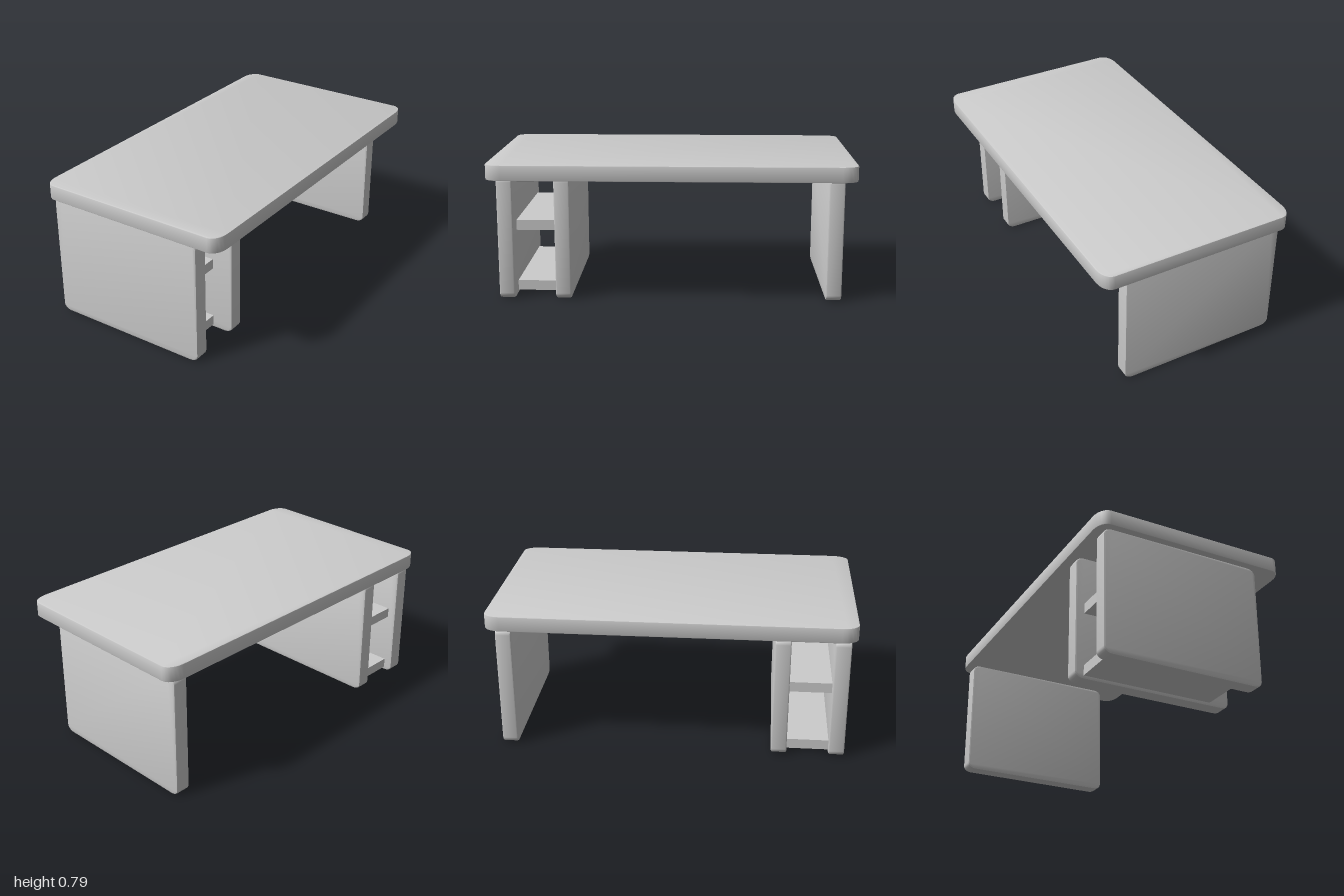
import * as THREE from 'three';
import { toCreasedNormals } from 'three/addons/utils/BufferGeometryUtils.js';

const material = new THREE.MeshStandardMaterial({ color: 0xcccccc });

// Slab in the XY plane with elliptical corners and softened rims, centred on the origin
function slabGeometry(w, h, t, rx, ry, bevel) {
  const x = w / 2, y = h / 2;
  const shape = new THREE.Shape();
  const corners = [[1, -1], [1, 1], [-1, 1], [-1, -1]];
  shape.moveTo(x - rx, -y);
  corners.forEach(([sx, sy], i) => {
    const start = (i - 1) * Math.PI / 2;
    shape.absellipse(sx * (x - rx), sy * (y - ry), rx, ry, start, start + Math.PI / 2, false, 0);
  });
  const geometry = new THREE.ExtrudeGeometry(shape, {
    depth: t - 2 * bevel,
    bevelThickness: bevel,
    bevelSize: bevel,
    bevelOffset: -bevel,
    bevelSegments: 2,
    curveSegments: 3,
  });
  geometry.center();
  return toCreasedNormals(geometry, 0.7);
}

function addPart(group, name, geometry, x, y, z) {
  const mesh = new THREE.Mesh(geometry, material);
  mesh.name = name;
  mesh.position.set(x, y, z);
  group.add(mesh);
  return mesh;
}

export function createModel() {
  const desk = new THREE.Group();
  desk.name = 'desk';

  // Table top, laid flat
  const top = slabGeometry(1.11, 2, 0.085, 0.06, 0.09, 0.004);
  top.rotateX(-Math.PI / 2);
  addPart(desk, 'tableTop', top, 0, 0.7485, 0);

  // Three upright panels, set towards the right side
  const panel = slabGeometry(0.92, 0.704, 0.086, 0.046, 0.036, 0.008);
  const panels = { frontPanel: 0.924, innerPanel: 0.607, backPanel: -0.903 };
  for (const [name, z] of Object.entries(panels)) {
    addPart(desk, name, panel, -0.06, 0.352, z);
  }

  // Shelves between the two front panels
  const shelf = new THREE.BoxGeometry(0.75, 0.057, 0.26);
  addPart(desk, 'lowerShelf', shelf, -0.095, 0.046, 0.766);
  addPart(desk, 'upperShelf', shelf, -0.095, 0.4, 0.766);

  return desk;
}
